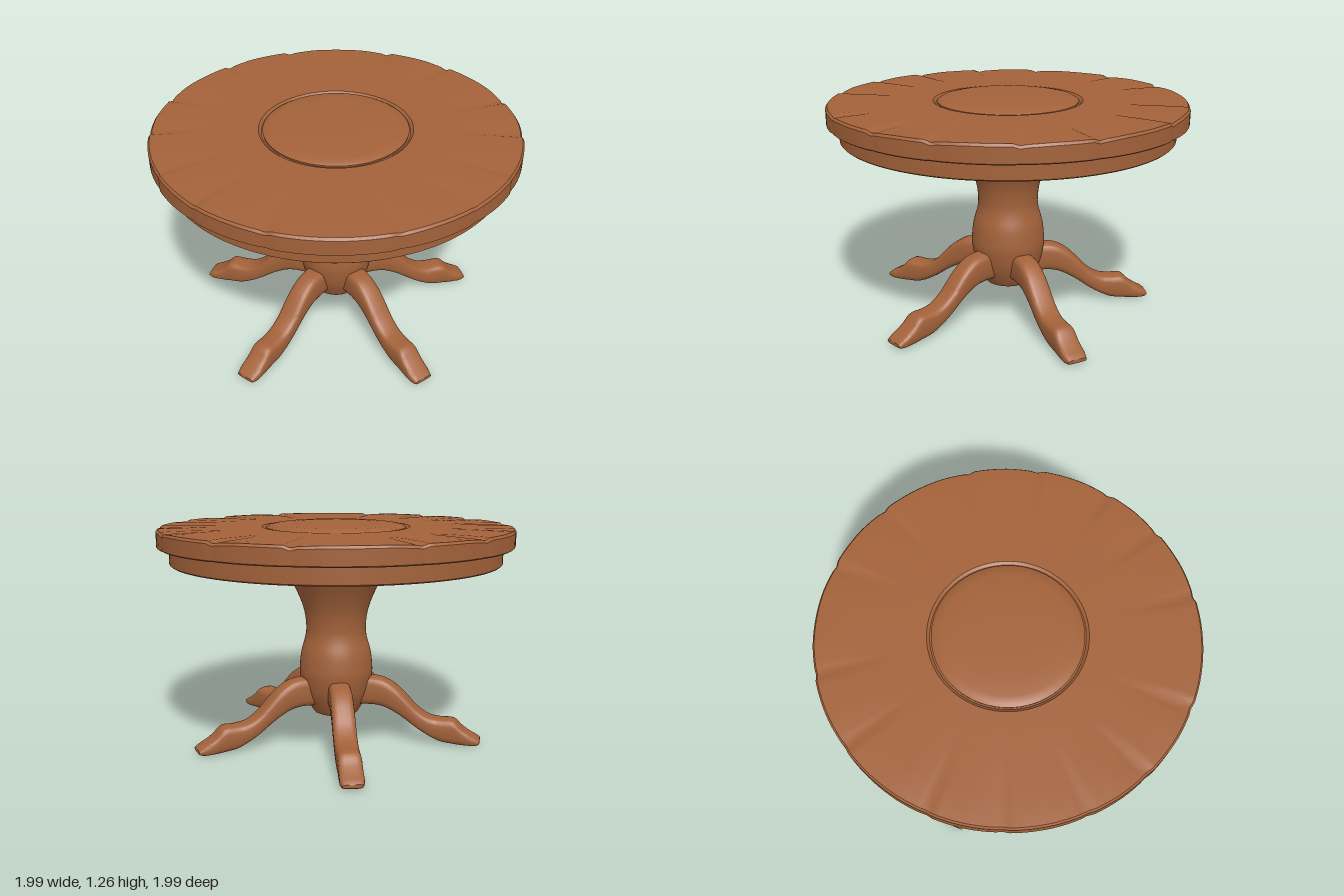
import * as THREE from 'three';
import { toCreasedNormals } from 'three/addons/utils/BufferGeometryUtils.js';

const wood = new THREE.MeshStandardMaterial({ color: 0xa3623a });
wood.name = 'brown wood';

function part(name, geometry, crease = 0.6) {
  const mesh = new THREE.Mesh(toCreasedNormals(geometry, crease), wood);
  mesh.name = name;
  return mesh;
}

function lathe(points, segments) {
  return new THREE.LatheGeometry(points.map(([r, y]) => new THREE.Vector2(r, y)), segments);
}

// Smooth curve through a few profile points
function smooth(points, count) {
  return new THREE.SplineCurve(points.map(([r, y]) => new THREE.Vector2(r, y)))
    .getPoints(count).map((p) => [p.x, p.y]);
}

// Plank seams, in degrees away from the back, mirrored left and right
const seams = [18, 42, 72, 94, 118, 138, 162].flatMap((a) => [a, -a]);

// 1 on a seam, fading quickly on one side and gently on the other
function seamDepth(x, z) {
  const angle = THREE.MathUtils.radToDeg(Math.atan2(x, -z));
  let depth = 0;
  for (const seam of seams) {
    const d = (angle - seam) * Math.sign(seam);
    const fade = d > 0 ? 1 - d / 2 : 0.6 * (1 + d / 9);
    if (Math.abs(d) < 0.1) depth = 1;
    else if (d > -9 && d < 2) depth = Math.max(depth, fade);
  }
  return depth;
}

// Round top with worn seams cut into its rim
function tabletop() {
  const geometry = lathe([
    [0, 1.135], [0.985, 1.135], [0.995, 1.142], [0.995, 1.222], [0.985, 1.235],
    [0.93, 1.237], [0.85, 1.237], [0.75, 1.236], [0.65, 1.235], [0.55, 1.235],
    [0.415, 1.235], [0.4, 1.222], [0, 1.222],
  ], 180);
  const pos = geometry.attributes.position;
  for (let i = 0; i < pos.count; i++) {
    const x = pos.getX(i), y = pos.getY(i), z = pos.getZ(i);
    const r = Math.hypot(x, z);
    if (r < 0.5) continue;
    const depth = seamDepth(x, z);
    if (y > 1.2) pos.setY(i, y - 0.012 * depth * THREE.MathUtils.smoothstep(r, 0.6, 0.95));
    if (r > 0.97) {
      const s = 1 - 0.006 * depth;
      pos.setX(i, x * s);
      pos.setZ(i, z * s);
    }
  }
  return geometry;
}

// S-curved leg: rounded slices along its reach, each point is (reach, top, bottom)
function legGeometry() {
  const slices = new THREE.CatmullRomCurve3([
    [0.08, 0.37, 0.2], [0.22, 0.375, 0.21], [0.29, 0.362, 0.2], [0.36, 0.32, 0.168],
    [0.42, 0.262, 0.13], [0.48, 0.2, 0.087], [0.55, 0.157, 0.045], [0.62, 0.147, 0.014],
    [0.69, 0.145, 0.004], [0.74, 0.1, 0.001], [0.79, 0.066, 0.001], [0.825, 0.047, 0.004],
    [0.842, 0.034, 0.014],
  ].map((p) => new THREE.Vector3(...p))).getPoints(48);
  const sides = 24, position = [], index = [];
  const round = (v) => Math.sign(v) * Math.pow(Math.abs(v), 0.55);
  const ring = (p, halfWidth, squash) => {
    const mid = (p.y + p.z) / 2, half = squash * (p.y - p.z) / 2;
    for (let j = 0; j < sides; j++) {
      const t = (j / sides) * Math.PI * 2;
      position.push(halfWidth * round(Math.cos(t)), Math.max(0, mid + half * round(Math.sin(t))), p.x);
    }
  };
  slices.forEach((p) => ring(p, p.x > 0.8 ? 0.064 - (p.x - 0.8) * 0.25 : 0.064, 1));
  ring(slices[slices.length - 1], 0, 0);
  for (let i = 0; i < slices.length; i++) {
    for (let j = 0; j < sides; j++) {
      const k = (j + 1) % sides;
      const a = i * sides + j, b = i * sides + k;
      index.push(a, b, b + sides, a, b + sides, a + sides);
    }
  }
  const geometry = new THREE.BufferGeometry();
  geometry.setAttribute('position', new THREE.Float32BufferAttribute(position, 3));
  geometry.setIndex(index);
  return geometry;
}

export function createModel() {
  const table = new THREE.Group();
  table.name = 'round pedestal table';

  table.add(part('tabletop', tabletop()));

  // Raised disc set into the middle of the top
  table.add(part('centreDisc', lathe([
    [0, 1.215], [0.39, 1.215], [0.393, 1.232], [0.375, 1.243], [0.34, 1.249],
    [0.25, 1.254], [0.12, 1.256], [0, 1.256],
  ], 72), 0.8));

  // Apron ring under the top
  table.add(part('apron', lathe([
    [0, 1.04], [0.922, 1.04], [0.93, 1.047], [0.93, 1.14], [0, 1.14],
  ], 96)));

  // Vase-shaped column
  table.add(part('pedestal', lathe([
    [0, 0.15], [0.115, 0.15],
    ...smooth([
      [0.13, 0.157], [0.155, 0.2], [0.19, 0.28], [0.21, 0.38], [0.21, 0.44], [0.2, 0.52],
      [0.178, 0.6], [0.172, 0.66], [0.182, 0.75], [0.212, 0.84], [0.26, 0.94], [0.315, 1.045],
    ], 44),
  ], 64), 0.8));

  // Five legs, one pointing straight back
  const leg = legGeometry();
  for (let i = 0; i < 5; i++) {
    const mesh = part('leg' + (i + 1), leg, 0.9);
    mesh.rotation.y = Math.PI + (i * Math.PI * 2) / 5;
    table.add(mesh);
  }
  return table;
}
